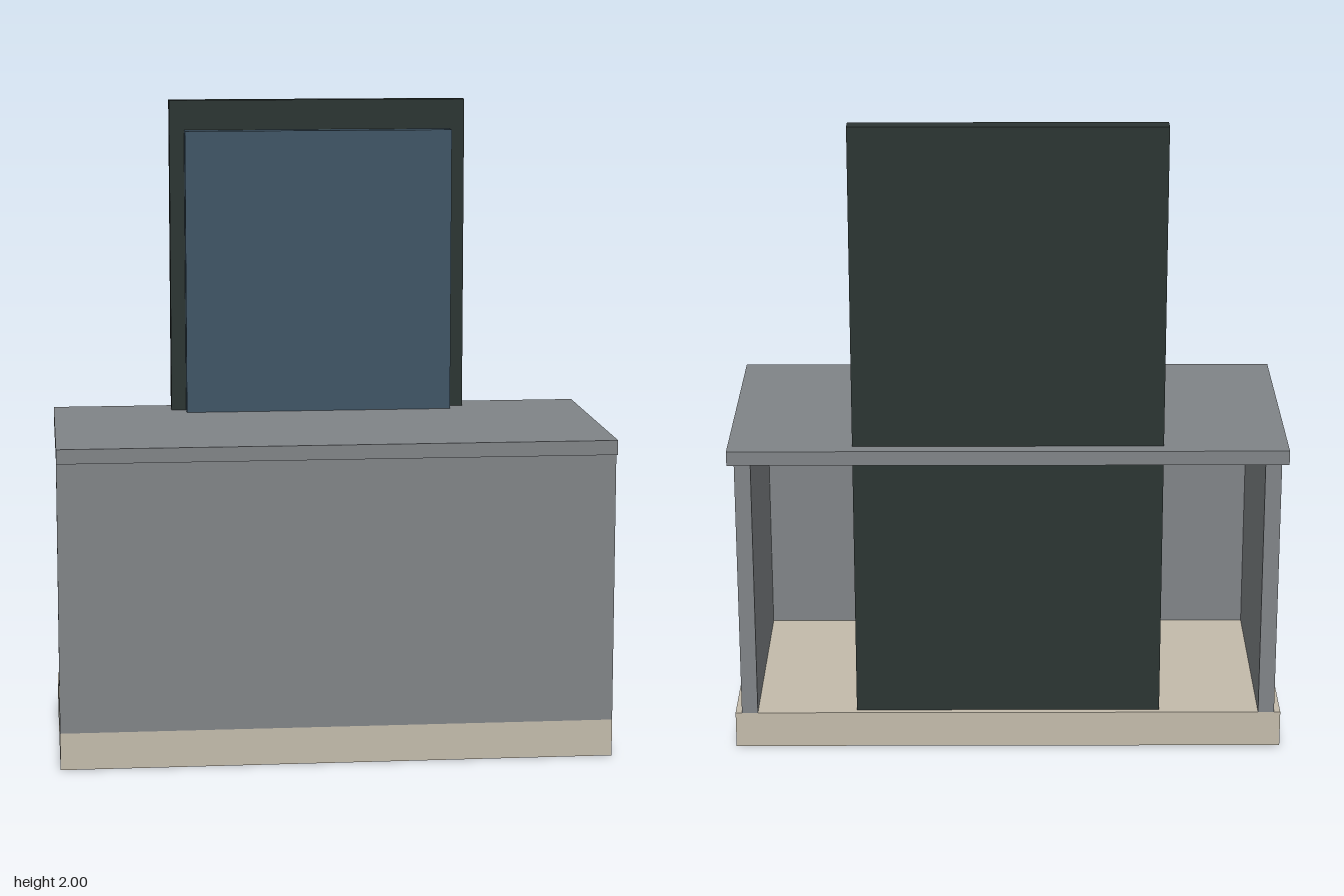
import * as THREE from 'three';

const material = (name, color) => {
  const m = new THREE.MeshStandardMaterial({ color });
  m.name = name;
  return m;
};

export function createModel() {
  const group = new THREE.Group();
  group.name = 'counter';

  const grey = material('grey laminate', 0x808487);
  const beige = material('beige plinth', 0xc3bbab);
  const dark = material('dark board', 0x2c3533);
  const blue = material('blue panel', 0x405565);

  // Box given by its minimum and maximum on each axis
  const slab = (name, mat, [x0, x1], [y0, y1], [z0, z1]) => {
    const mesh = new THREE.Mesh(new THREE.BoxGeometry(x1 - x0, y1 - y0, z1 - z0), mat);
    mesh.position.set((x0 + x1) / 2, (y0 + y1) / 2, (z0 + z1) / 2);
    mesh.name = name;
    group.add(mesh);
  };

  // Cabinet, open at the back
  slab('plinth', beige, [-0.855, 0.855], [0, 0.115], [-0.38, 0.38]);
  slab('countertop', grey, [-0.855, 0.855], [0.955, 1], [-0.405, 0.405]);
  slab('frontPanel', grey, [-0.855, 0.855], [0.115, 0.955], [0.33, 0.38]);
  slab('leftSidePanel', grey, [0.785, 0.835], [0.115, 0.955], [-0.38, 0.33]);
  slab('rightSidePanel', grey, [-0.835, -0.785], [0.115, 0.955], [-0.38, 0.33]);

  // Upright board passing through the counter, with a smaller panel on its front
  slab('backBoard', dark, [-0.475, 0.475], [0.002, 2], [-0.36, -0.305]);
  slab('displayPanel', blue, [-0.428, 0.428], [0.1, 1.905], [-0.305, -0.25]);

  return group;
}
